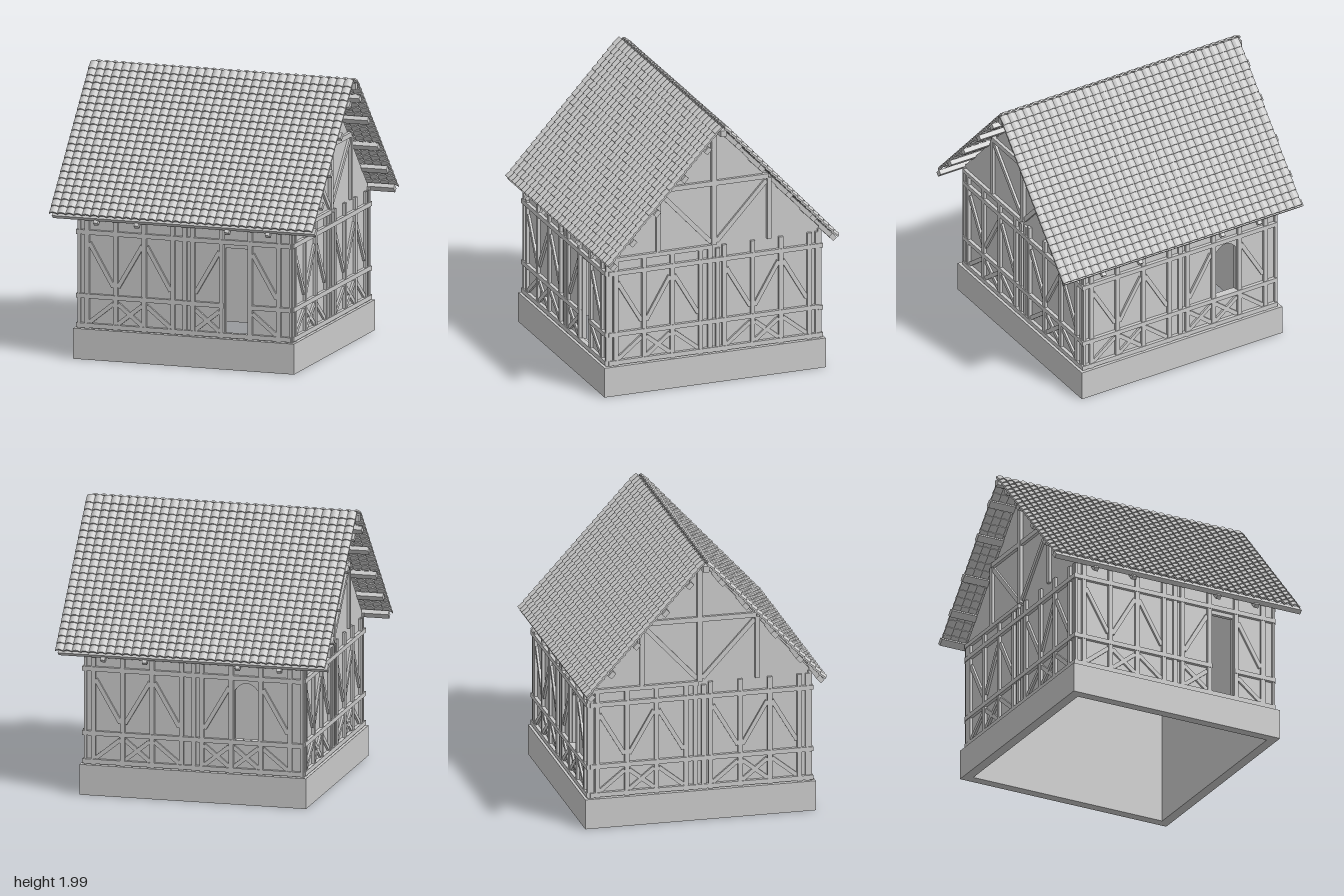
import * as THREE from 'three';

const mat = new THREE.MeshStandardMaterial({ color: 0xcccccc });
const BASE_H = 0.22, EAVE = 1.0, APEX = 1.93;

function add(parent, name, geo, x = 0, y = 0, z = 0) {
  const m = new THREE.Mesh(geo, mat);
  m.name = name;
  m.position.set(x, y, z);
  parent.add(m);
  return m;
}

const polygon = (pts) => new THREE.Shape(pts.map(([x, y]) => new THREE.Vector2(x, y)));

// Flat timber between two points on a wall, standing proud of it
function timber(wall, name, x0, y0, x1, y1, w = 0.033, proud = 0.02) {
  const len = Math.hypot(x1 - x0, y1 - y0);
  const m = add(wall, name, new THREE.BoxGeometry(len, w, proud + 0.01),
    (x0 + x1) / 2, (y0 + y1) / 2, (proud - 0.01) / 2);
  m.rotation.z = Math.atan2(y1 - y0, x1 - x0);
}

// Timber module of three bays; openBay is left free for an opening
function frameModule(wall, x, opening, top) {
  const posts = [0, 0.215, 0.43, 0.645].map((p) => x + p);
  posts.forEach((p) => timber(wall, 'post', p, BASE_H, p, top, 0.033, 0.021));
  for (let i = 0; i < 3; i++) {
    const a = posts[i] + 0.017, b = posts[i + 1] - 0.017;
    const open = i === 1 ? opening : null;
    if (!open) {
      const rising = i === 1 || opening;
      if (rising && i !== 2) timber(wall, 'brace', a, 0.53, b, 0.84, 0.03, 0.016);
      else timber(wall, 'brace', a, 0.84, b, 0.53, 0.03, 0.016);
    }
    if (open === 'door') continue;
    const cross = i === 1 || (opening && i === 0);
    if (i === 0 || cross) timber(wall, 'lowerBrace', a, 0.265, b, 0.41, 0.03, 0.016);
    if (i === 2 || cross) timber(wall, 'lowerBrace', a, 0.41, b, 0.265, 0.03, 0.015);
  }
}

// Door or arched window outline
function openingPath(kind) {
  const l = 0.3, r = 0.47, path = new THREE.Path();
  if (kind === 'door') {
    path.moveTo(l, 0.255).lineTo(r, 0.255).lineTo(r, 0.87).lineTo(l, 0.87).closePath();
  } else {
    path.moveTo(l, 0.465).lineTo(r, 0.465).lineTo(r, 0.82);
    path.quadraticCurveTo((l + r) / 2, 0.93, l, 0.82);
    path.closePath();
  }
  return path;
}

// Long wall under the eaves, with an opening in its right half
function sideWall(kind) {
  const wall = new THREE.Group(), h = 0.79;
  const s = polygon([[-h, BASE_H - 0.02], [h, BASE_H - 0.02], [h, 1.06], [-h, 1.06]]);
  s.holes.push(openingPath(kind));
  const geo = new THREE.ExtrudeGeometry(s, { depth: 0.03, bevelEnabled: false });
  add(wall, 'wallPanel', geo, 0, 0, -0.03);
  timber(wall, 'topRail', -0.815, 0.915, 0.8, 0.915, 0.033, 0.025);
  timber(wall, 'sillRail', -0.815, 0.243, 0.8, 0.243, 0.033, 0.025);
  if (kind === 'door') {
    timber(wall, 'middleRail', -0.815, 0.455, 0.295, 0.455, 0.033, 0.025);
    timber(wall, 'middleRail', 0.475, 0.455, 0.8, 0.455, 0.033, 0.025);
  } else timber(wall, 'middleRail', -0.815, 0.448, 0.8, 0.448, 0.033, 0.025);
  frameModule(wall, -0.735, null, 1.04);
  frameModule(wall, 0.06, kind, 1.04);
  timber(wall, 'centrePost', 0, BASE_H, 0, 1.04, 0.03, 0.018);
  for (const s of [-1, 1]) timber(wall, 'cornerPost', s * 0.793, BASE_H, s * 0.793, 1.04, 0.02, 0.018);
  return wall;
}

// End wall with the gable above
function gableWall() {
  const wall = new THREE.Group(), h = 0.8;
  const s = polygon([[-h, BASE_H - 0.02], [h, BASE_H - 0.02], [h, 1.055], [0, APEX], [-h, 1.055]]);
  const geo = new THREE.ExtrudeGeometry(s, { depth: 0.03, bevelEnabled: false });
  add(wall, 'gablePanel', geo, 0, 0, -0.03);
  for (const y of [0.243, 0.455, 0.915]) timber(wall, 'rail', -h, y, h, y, 0.033, 0.025);
  timber(wall, 'wallPlate', -h, 1.017, -0.01, 1.017, 0.03, 0.025);
  frameModule(wall, -0.745, null, 1.01);
  frameModule(wall, 0.08, null, 1.02);
  for (const d of [-1, 1]) {
    timber(wall, 'cornerPost', d * 0.785, BASE_H, d * 0.785, 1.02, 0.03, 0.018);
    timber(wall, 'middlePost', d * 0.03, BASE_H, d * 0.03, EAVE, 0.033, 0.018);
    timber(wall, 'gablePost', d * 0.42, 1.02, d * 0.42, 1.48, 0.033, 0.021);
    timber(wall, 'gableBrace', d * 0.02, 1.05, d * 0.4, 1.46, 0.033, 0.016);
  }
  timber(wall, 'collarBeam', -0.41, 1.493, 0.41, 1.493, 0.036, 0.023);
  timber(wall, 'kingPost', 0, 1.03, 0, 1.92, 0.038, 0.025);
  return wall;
}

// One course of barrel tiles: a scalloped strip with thickness
function tileCourse(columns, x0, x1, depth) {
  const n = columns * 6, top = [], under = [];
  for (let i = 0; i <= n; i++) {
    const x = x0 + (x1 - x0) * i / n;
    const y = 0.015 * Math.sin(Math.PI * (i % 6) / 6);
    under.push([x, y]);
    top.unshift([x, y + 0.012]);
  }
  return new THREE.ExtrudeGeometry(polygon([...under, ...top]), { depth, bevelEnabled: false });
}

// Roof slope: +z runs down the slope, +y points out of it
function roofSlope(course) {
  const slope = new THREE.Group();
  for (let i = 0; i < 22; i++) {
    add(slope, 'tileCourse', course, 0, 0, i * 0.0572).rotation.x = -0.15;
  }
  for (const s of [0.19, 0.45, 0.76, 1.03, 1.25]) {
    add(slope, 'purlin', new THREE.BoxGeometry(1.975, 0.034, 0.05), 0.005, -0.015, s);
  }
  for (const x of [-0.655, -0.35, 0.33, 0.635]) {
    add(slope, 'rafter', new THREE.BoxGeometry(0.033, 0.03, 1.29), x, -0.035, 0.655);
  }
  slope.rotation.x = Math.atan2(0.96, 0.88);
  slope.position.y = 1.965;
  return slope;
}

export function createModel() {
  const house = new THREE.Group();
  house.name = 'timberFramedHouse';

  // Hollow plinth, open underneath
  const ring = polygon([[-0.83, -0.84], [0.83, -0.84], [0.83, 0.84], [-0.83, 0.84]]);
  ring.holes.push(new THREE.Path(polygon([[-0.76, -0.77], [-0.76, 0.77], [0.76, 0.77], [0.76, -0.77]]).getPoints()));
  add(house, 'plinth', new THREE.ExtrudeGeometry(ring, { depth: BASE_H, bevelEnabled: false }))
    .rotation.x = -Math.PI / 2;

  // Four walls, turned about the centre
  const walls = [
    ['frontWall', sideWall('door'), 0.8], ['leftGable', gableWall(), 0.79],
    ['backWall', sideWall('window'), 0.8], ['rightGable', gableWall(), 0.79],
  ];
  walls.forEach(([name, wall, out], i) => {
    const turn = new THREE.Group();
    turn.name = name;
    wall.position.z = out;
    turn.rotation.y = i * Math.PI / 2;
    turn.add(wall);
    house.add(turn);
  });

  // Two tiled slopes and the ridge beam
  const course = tileCourse(32, -1, 0.975, 0.068);
  ['frontRoof', 'backRoof'].forEach((name, i) => {
    const side = new THREE.Group();
    side.name = name;
    side.rotation.y = i * Math.PI;
    side.add(roofSlope(course));
    house.add(side);
  });
  add(house, 'ridgeBeam', new THREE.BoxGeometry(1.99, 0.045, 0.045), 0, 1.93, 0);
  return house;
}
